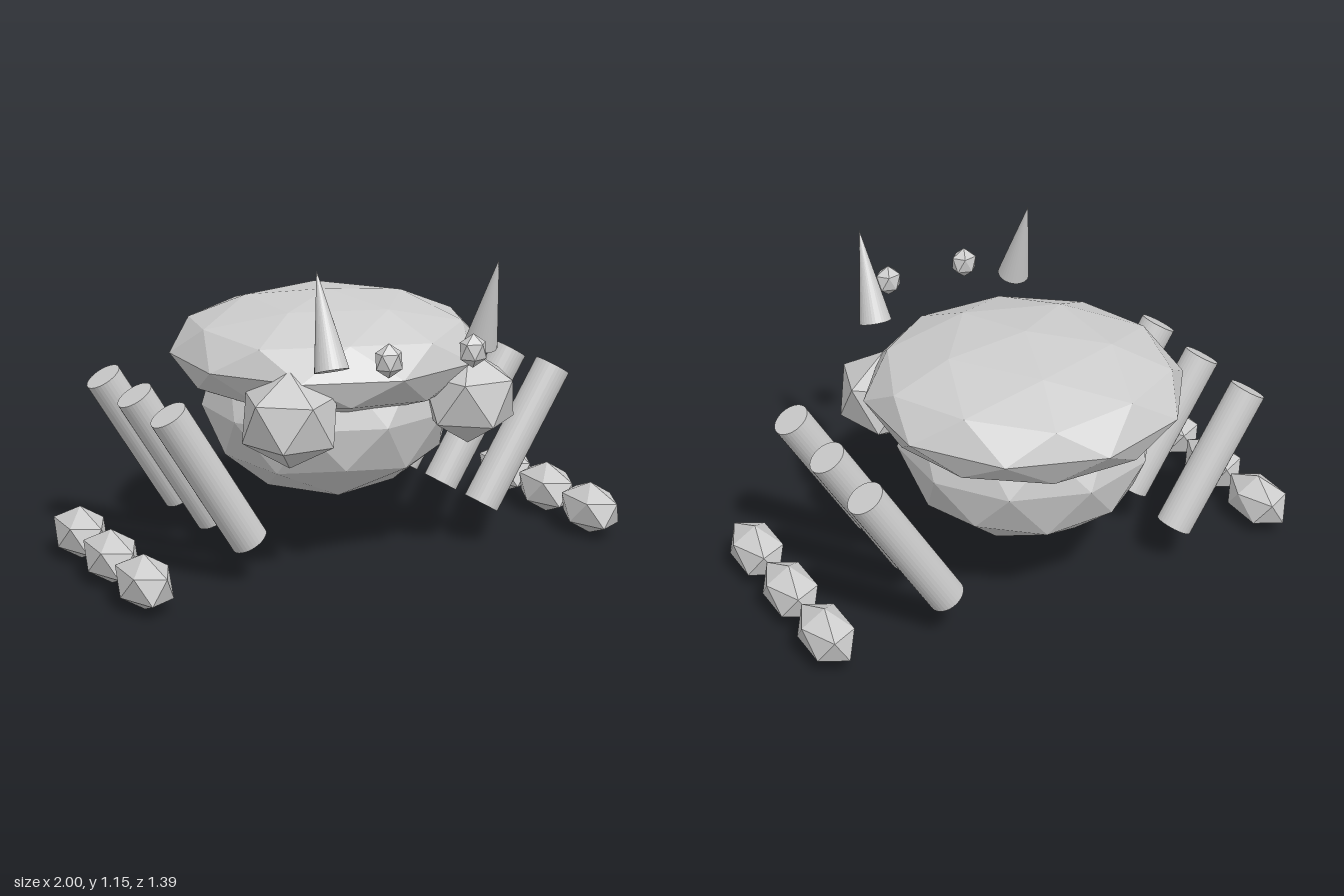
import * as THREE from 'three';

const grey = new THREE.MeshStandardMaterial({ color: 0xcccccc, flatShading: true });
grey.name = 'plain grey';

// Faceted ball standing on a vertex, with an upper-ring vertex pointing to +x
function ball(name, detail, size, position, turn = 0) {
  const geometry = new THREE.IcosahedronGeometry(1, detail)
    .rotateX(-Math.atan((1 + Math.sqrt(5)) / 2))
    .rotateY(Math.PI / 2 + turn)
    .scale(...size);
  const mesh = new THREE.Mesh(geometry, grey);
  mesh.name = name;
  mesh.position.set(...position);
  return mesh;
}

// Cylinder or cone running between two points
function rod(name, from, to, bottomRadius, topRadius) {
  const a = new THREE.Vector3(...from);
  const b = new THREE.Vector3(...to);
  const axis = b.clone().sub(a);
  const geometry = new THREE.CylinderGeometry(topRadius, bottomRadius, axis.length(), 32);
  const mesh = new THREE.Mesh(geometry, grey);
  mesh.name = name;
  mesh.position.copy(a).add(b).multiplyScalar(0.5);
  mesh.quaternion.setFromUnitVectors(new THREE.Vector3(0, 1, 0), axis.normalize());
  return mesh;
}

export function createModel() {
  const model = new THREE.Group();
  model.name = 'crab';

  // Body and the wider shell on top of it
  model.add(ball('body', 1, [0.47, 0.35, 0.47], [0, 0.54, -0.11]));
  model.add(ball('shell', 1, [0.585, 0.22, 0.585], [0, 0.74, -0.11]));

  for (const [side, s] of [['left', 1], ['right', -1]]) {
    // Claw, eye and horn; the horns lean in opposite directions
    model.add(ball(side + 'Claw', 0, [0.185, 0.175, 0.2], [s * 0.36, 0.605, 0.305], s * 0.3));
    model.add(ball(side + 'Eye', 0, [0.054, 0.06, 0.046], [s * 0.163, 0.87, 0.66]));
    model.add(rod(side + 'Horn', [s * 0.323, 0.83, 0.5 - s * 0.055],
      [s * 0.323, 1.155, 0.5 + s * 0.058], 0.06, 0));

    // Three slanted legs with separate feet
    for (let i = 0; i < 3; i++) {
      model.add(rod(side + 'Leg' + (i + 1), [s * 0.476, 0.158, 0.215 - i * 0.304],
        [s * 0.777, 0.653, 0.215 - i * 0.304], 0.068, 0.068));
      model.add(ball(side + 'Foot' + (i + 1), 0, [0.1, 0.1, 0.163], [s * 0.91, 0.1, 0.295 - i * 0.304]));
    }
  }
  return model;
}
